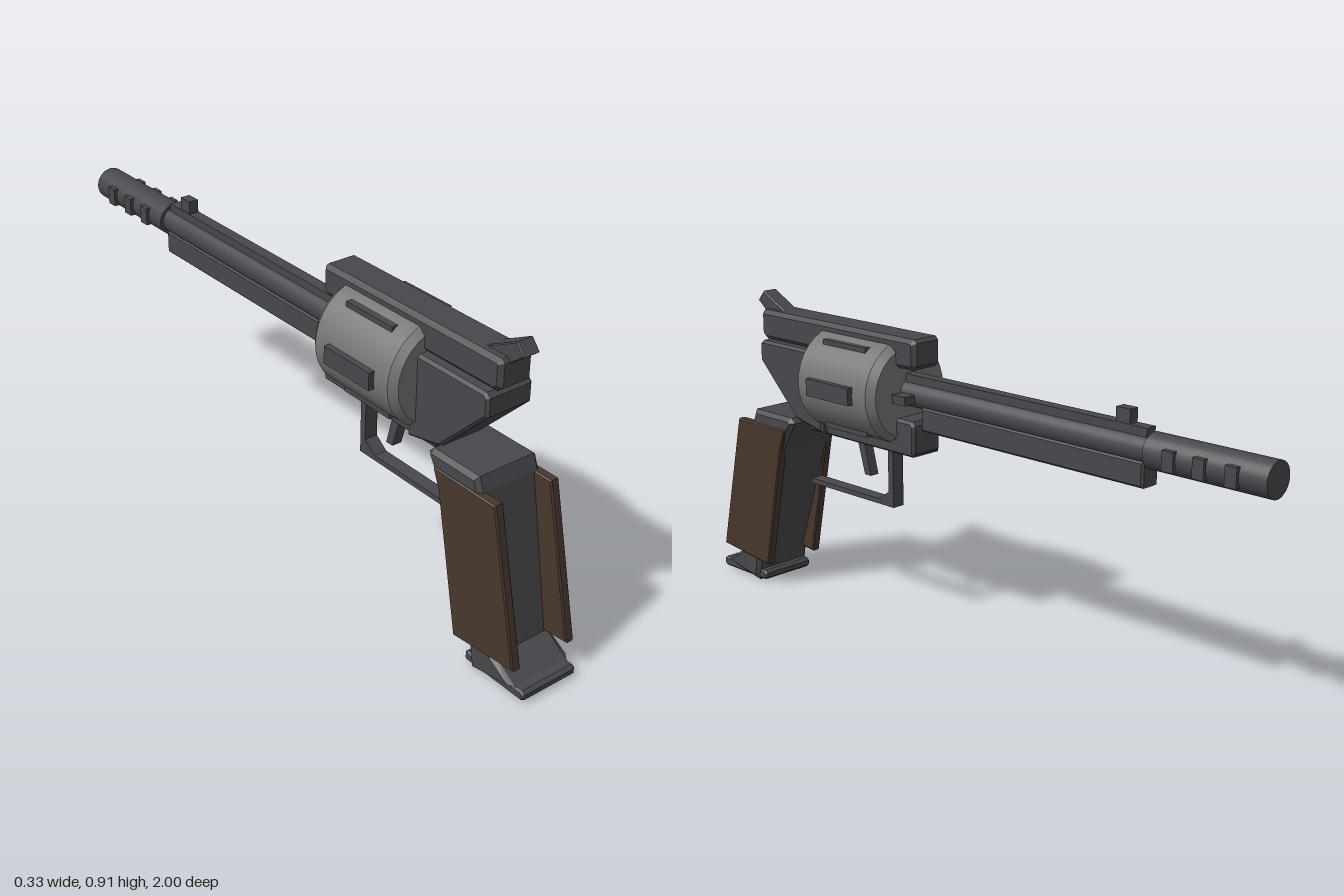
import * as THREE from 'three';

const mat = (name, color) => {
  const m = new THREE.MeshStandardMaterial({ color });
  m.name = name;
  return m;
};

export function createModel() {
  const steel = mat('dark steel', 0x48474c);
  const silver = mat('grey steel', 0x747773);
  const wood = mat('dark wood', 0x48372c);
  const group = new THREE.Group();
  const axisY = 0.7;

  const add = (name, geometry, material = steel) => {
    const mesh = new THREE.Mesh(geometry, material);
    mesh.name = name;
    group.add(mesh);
    return mesh;
  };
  // Side profile of [z, y] points, extruded across x with a small bevel
  const plate = (name, points, width, bevel = 0, material = steel, x = 0) => {
    const shape = new THREE.Shape(points.map(p => new THREE.Vector2(p[0], p[1])));
    const g = new THREE.ExtrudeGeometry(shape, {
      depth: width - 2 * bevel, bevelEnabled: bevel > 0, bevelThickness: bevel,
      bevelSize: bevel, bevelOffset: -bevel, bevelSegments: 1,
    });
    g.translate(0, 0, bevel - width / 2);
    g.rotateY(-Math.PI / 2);
    g.translate(x, 0, 0);
    return add(name, g, material);
  };
  // Box given by its limits in z and y
  const bar = (name, z0, z1, y0, y1, width, bevel = 0, x = 0) =>
    plate(name, [[z0, y0], [z1, y0], [z1, y1], [z0, y1]], width, bevel, steel, x);
  // Round part along z from a [radius, z] profile
  const turned = (name, profile, sides, material = steel) => {
    const positions = profile.map(p => new THREE.Vector2(p[0], p[1]));
    const g = new THREE.LatheGeometry(positions, sides);
    g.rotateX(Math.PI / 2);
    g.translate(0, axisY, 0);
    return add(name, g, material);
  };

  // Frame
  plate('topStrap', [[0.15, 0.79], [0.165, 0.777], [0.795, 0.777], [0.812, 0.79],
    [0.812, 0.855], [0.803, 0.865], [0.16, 0.865], [0.15, 0.855]], 0.106, 0.012);
  plate('rearFrame', [[0.52, 0.535], [0.64, 0.56], [0.797, 0.715], [0.797, 0.765],
    [0.785, 0.777], [0.52, 0.777]], 0.146, 0.008);
  bar('bottomStrap', 0.16, 0.6, 0.53, 0.575, 0.106, 0.005);
  plate('frontLug', [[0.155, 0.54], [0.165, 0.53], [0.235, 0.53], [0.235, 0.632],
    [0.165, 0.632], [0.155, 0.62]], 0.106, 0.008);

  // Cylinder, with doubled rings to keep its edges sharp
  turned('cylinder', [[0, 0.222], [0.132, 0.222], [0.132, 0.222], [0.15, 0.245],
    [0.15, 0.245], [0.15, 0.53], [0.15, 0.53], [0.132, 0.55], [0.132, 0.55], [0, 0.55]], 32, silver);
  for (let i = 0; i < 6; i++) {
    const a = i * Math.PI / 3;
    const x = Math.cos(a) * 0.15, y = axisY + Math.sin(a) * 0.134;
    const side = i % 3 === 0;
    const h = side ? 0.025 : 0.013;
    bar('cylinderRib', 0.3, 0.478, y - h, y + h, side ? 0.03 : 0.042, 0, x);
  }
  bar('cylinderPin', 0.165, 0.215, 0.682, 0.707, 0.15);

  // Barrel
  turned('barrel', [[0, -0.645], [0.038, -0.645], [0.038, -0.645], [0.038, 0.23],
    [0.038, 0.23], [0, 0.23]], 24);
  bar('barrelRib', -0.63, 0.22, 0.72, 0.757, 0.034);
  bar('underLug', -0.632, 0.145, 0.605, 0.675, 0.064, 0.006);
  bar('frontSight', -0.575, -0.53, 0.75, 0.795, 0.03);
  turned('muzzle', [[0, -1], [0.048, -1], [0.048, -1], [0.048, -0.64],
    [0.048, -0.64], [0, -0.64]], 24);
  for (const z of [-0.722, -0.812, -0.905])
    for (const s of [-1, 1]) bar('muzzlePort', z - 0.017, z + 0.017, 0.672, 0.725, 0.03, 0, s * 0.041);

  // Hammer
  plate('hammer', [[0.725, 0.85], [0.8, 0.84], [0.856, 0.884], [0.83, 0.915], [0.725, 0.862]], 0.05, 0.003);

  // Trigger and guard
  plate('trigger', [[0.4, 0.425], [0.375, 0.425], [0.405, 0.54], [0.433, 0.54]], 0.03);
  plate('triggerGuard', [[0.275, 0.54], [0.275, 0.35], [0.635, 0.35], [0.635, 0.365],
    [0.335, 0.365], [0.295, 0.395], [0.295, 0.54]], 0.04);

  // Grip
  plate('gripCore', [[0.625, 0.55], [0.678, 0.46], [0.805, 0.09], [0.82, 0.007],
    [0.97, 0.04], [0.896, 0.09], [0.818, 0.525], [0.803, 0.565], [0.64, 0.565]], 0.2, 0.012);
  for (const s of [-1, 1]) {
    plate('gripPanel', [[0.655, 0.525], [0.677, 0.47], [0.757, 0.075], [0.972, 0.097],
      [0.875, 0.525]], 0.028, 0.004, wood, s * 0.091);
  }
  plate('basePlate', [[0.788, 0.02], [0.797, 0.012], [0.99, 0.012], [1, 0.02],
    [1, 0.034], [0.99, 0.042], [0.797, 0.042], [0.788, 0.034]], 0.18, 0.006);

  // Settle on the ground
  const box = new THREE.Box3().setFromObject(group);
  group.position.y = -box.min.y;
  return group;
}
